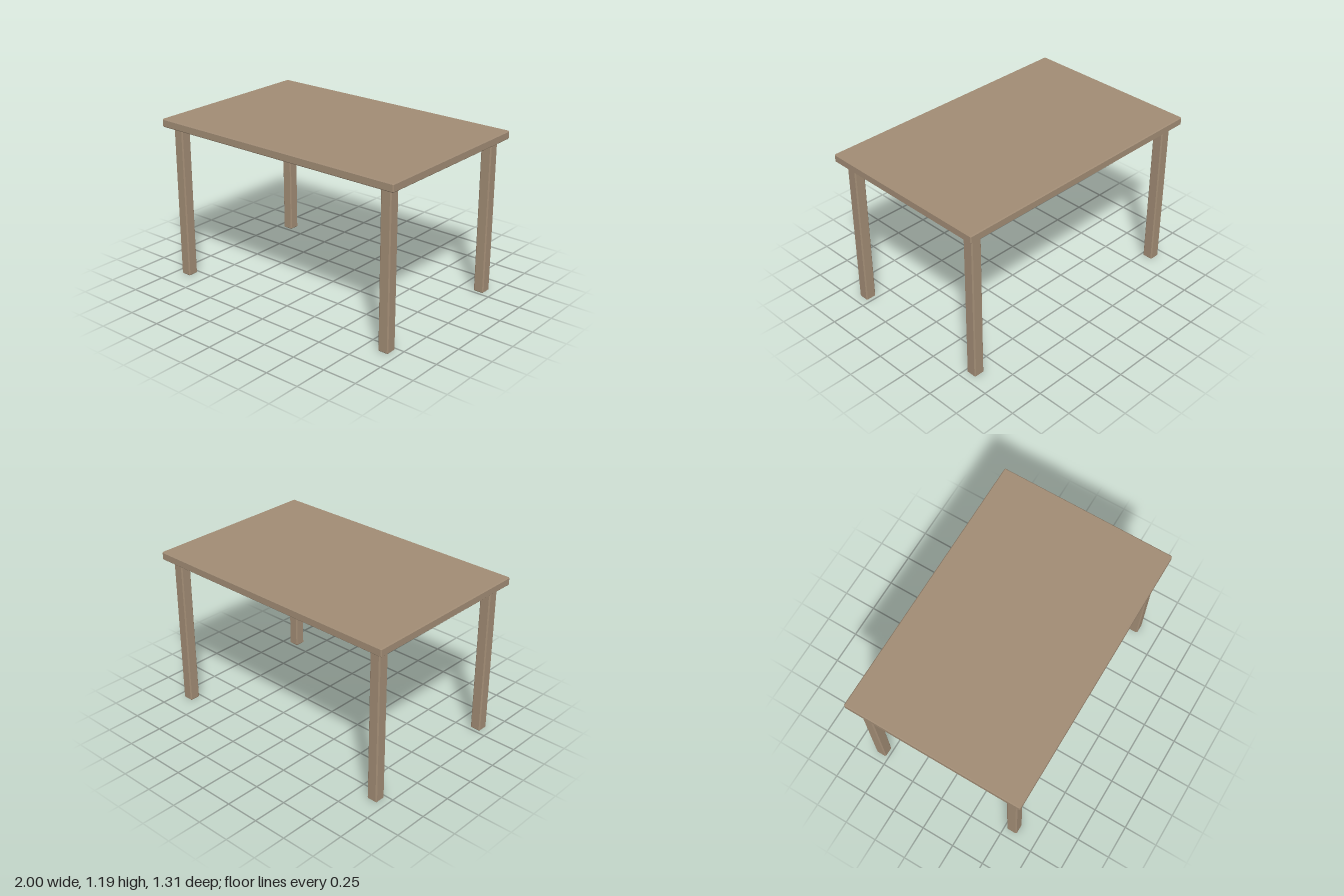
import * as THREE from 'three';
import { ConvexGeometry } from 'three/addons/geometries/ConvexGeometry.js';

// Box with a small flat chamfer on every edge
function chamferBox(w, h, d, b) {
  const points = [];
  for (const sx of [-1, 1]) for (const sy of [-1, 1]) for (const sz of [-1, 1]) {
    const x = w / 2, y = h / 2, z = d / 2;
    points.push(
      new THREE.Vector3(sx * x, sy * (y - b), sz * (z - b)),
      new THREE.Vector3(sx * (x - b), sy * y, sz * (z - b)),
      new THREE.Vector3(sx * (x - b), sy * (y - b), sz * z)
    );
  }
  return new ConvexGeometry(points);
}

export function createModel() {
  const table = new THREE.Group();
  table.name = 'table';
  const wood = new THREE.MeshStandardMaterial({ color: 0xa08b74 });

  const topHeight = 1.19, topThickness = 0.06;
  const legHeight = topHeight - topThickness, legWidth = 0.08;

  // Table top
  const top = new THREE.Mesh(chamferBox(2, topThickness, 1.308, 0.007), wood);
  top.name = 'tableTop';
  top.position.y = topHeight - topThickness / 2;
  table.add(top);

  // Four square legs, set in from the corners
  const legGeometry = chamferBox(legWidth, legHeight, legWidth, 0.008);
  for (const [sideZ, depth] of [['front', 1], ['back', -1]]) {
    for (const [sideX, across] of [['Left', 1], ['Right', -1]]) {
      const leg = new THREE.Mesh(legGeometry, wood);
      leg.name = `${sideZ}${sideX}Leg`;
      leg.position.set(across * 0.904, legHeight / 2, depth * 0.56);
      table.add(leg);
    }
  }
  return table;
}
